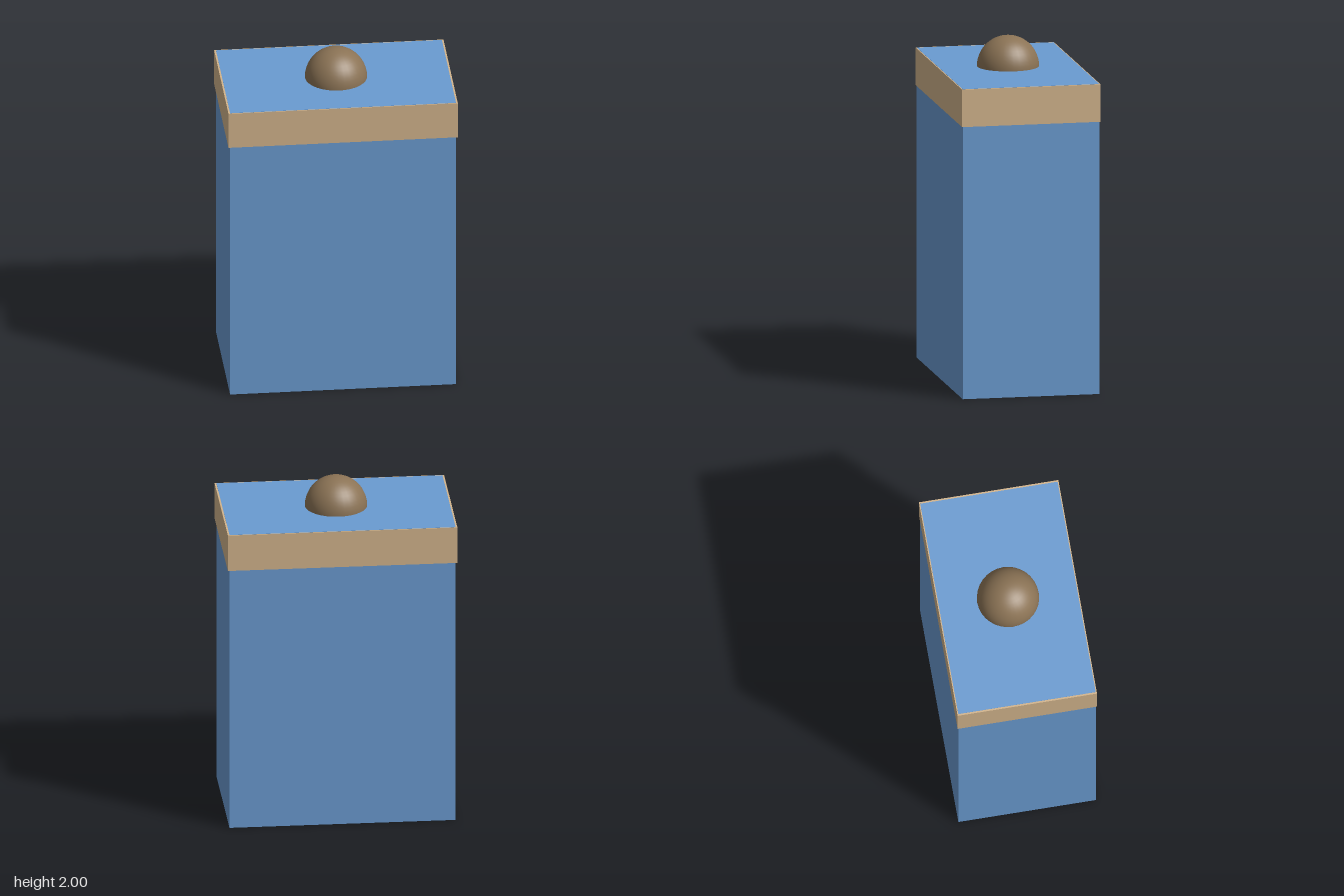
import * as THREE from 'three';

const material = (color) => new THREE.MeshStandardMaterial({ color });

function addPart(group, name, geometry, color, y) {
  const mesh = new THREE.Mesh(geometry, material(color));
  mesh.name = name;
  mesh.position.y = y;
  group.add(mesh);
}

export function createModel() {
  const group = new THREE.Group();
  group.name = 'boxWithKnob';

  const bodyHeight = 1.821; // a hair above the band, so the two tops do not flicker
  const bandBottom = 1.6, bandTop = 1.82;

  // Tall body, whose top shows inside the band
  addPart(group, 'body', new THREE.BoxGeometry(1.31, bodyHeight, 0.804), 0x6a9bd1, bodyHeight / 2);

  // Slightly wider band around the top
  addPart(group, 'lidBand', new THREE.BoxGeometry(1.33, bandTop - bandBottom, 0.816), 0xd2b48c, (bandTop + bandBottom) / 2);

  // Round knob, half sunk into the top
  addPart(group, 'knob', new THREE.SphereGeometry(0.18, 32, 24), 0x8b7355, bandTop);

  return group;
}
